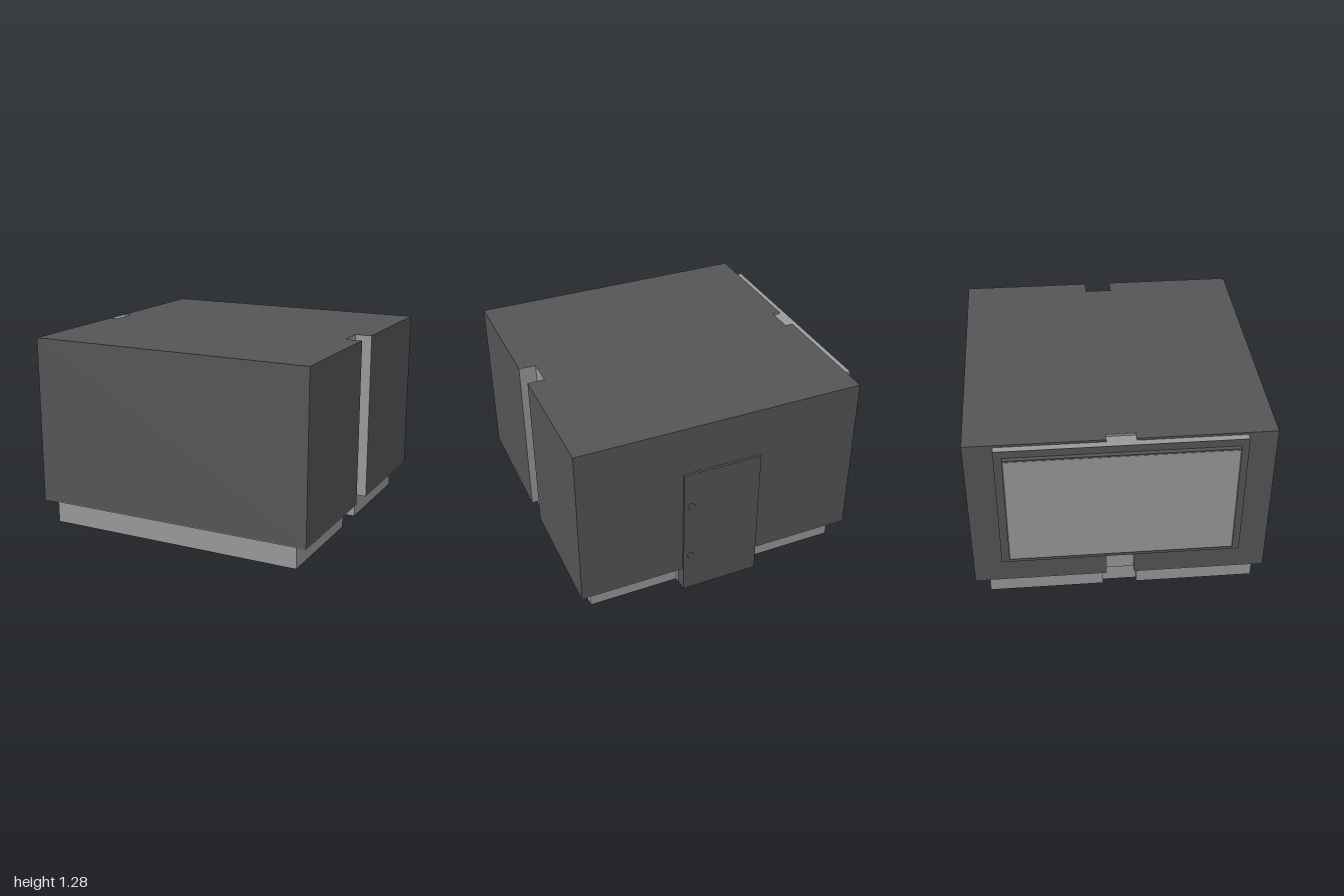
import * as THREE from 'three';

const dark = new THREE.MeshStandardMaterial({ color: 0x555555 });
dark.name = 'charcoal';
const light = new THREE.MeshStandardMaterial({ color: 0x999999 });
light.name = 'light grey';

function add(parent, name, geometry, material) {
  const mesh = new THREE.Mesh(geometry, material);
  mesh.name = name;
  parent.add(mesh);
  return mesh;
}

// box given by its two opposite corners
function block(parent, name, material, [x0, y0, z0], [x1, y1, z1]) {
  const mesh = add(parent, name, new THREE.BoxGeometry(x1 - x0, y1 - y0, z1 - z0), material);
  mesh.position.set((x0 + x1) / 2, (y0 + y1) / 2, (z0 + z1) / 2);
  return mesh;
}

// upright prism over a plan outline of [x, z] points
function prism(parent, name, material, plan, y0, y1) {
  const shape = new THREE.Shape(plan.map(([x, z]) => new THREE.Vector2(x, -z)));
  const geometry = new THREE.ExtrudeGeometry(shape, { depth: y1 - y0, bevelEnabled: false });
  geometry.rotateX(-Math.PI / 2).translate(0, y0, 0);
  return add(parent, name, geometry, material);
}

// rectangle with a notch in each of its two x sides
function notchedPlan(x0, x1, z0, z1, notchX0, notchX1, nz0, nz1) {
  return [
    [x0, z1], [x1, z1],
    [x1, nz1], [notchX1, nz1], [notchX1, nz0], [x1, nz0],
    [x1, z0], [x0, z0],
    [x0, nz0], [notchX0, nz0], [notchX0, nz1], [x0, nz1],
  ];
}

export function createModel() {
  const model = new THREE.Group();
  model.name = 'cabin';

  // main body with a grey underside
  const plan = notchedPlan(-0.925, 1, -0.955, 0.965, -0.87, 0.885, -0.09, 0.1);
  prism(model, 'body', dark, plan, 0.17, 1.285);
  prism(model, 'underside', light, plan, 0.165, 0.17);

  // grey lining of the two vertical grooves
  const t = 0.003;
  for (const [outer, inner] of [[1, 0.885], [-0.925, -0.87]]) {
    const a = Math.min(outer, inner), b = Math.max(outer, inner);
    const back = inner + Math.sign(outer) * t;
    block(model, 'grooveBack', light, [Math.min(inner, back), 0.165, -0.09], [Math.max(inner, back), 1.284, 0.1]);
    block(model, 'grooveSide', light, [a, 0.165, -0.09], [b, 1.284, -0.09 + t]);
    block(model, 'grooveSide', light, [a, 0.165, 0.1 - t], [b, 1.284, 0.1]);
  }

  // recessed plinth with a dark sole
  const basePlan = notchedPlan(-0.855, 0.915, -0.865, 0.91, -0.82, 0.85, -0.105, 0.12);
  prism(model, 'base', light, basePlan, 0.004, 0.165);
  prism(model, 'baseSole', dark, basePlan, 0, 0.004);
  block(model, 'doorStep', light, [-0.235, 0, -0.895], [0.305, 0.165, -0.865]);

  // back door: a plate with two round holes, thicker below the body
  const doorShape = new THREE.Shape([
    new THREE.Vector2(-0.23, 0), new THREE.Vector2(0.3, 0),
    new THREE.Vector2(0.3, 0.945), new THREE.Vector2(-0.23, 0.945),
  ]);
  for (const y of [0.28, 0.69]) {
    const hole = new THREE.Path();
    hole.absarc(0.25, y, 0.023, 0, Math.PI * 2, true);
    doorShape.holes.push(hole);
  }
  const door = new THREE.ExtrudeGeometry(doorShape, { depth: 0.015, bevelEnabled: false, curveSegments: 16 });
  door.translate(0, 0, -0.97);
  add(model, 'door', door, dark);
  block(model, 'doorFoot', dark, [-0.23, 0, -0.955], [0.3, 0.165, -0.895]);

  // side display: grey frame, tongue in the groove, dark surround, grey screen
  const display = new THREE.Group();
  display.name = 'sideDisplay';
  model.add(display);
  block(display, 'frame', light, [-0.967, 0.365, -0.77], [-0.925, 1.27, 0.78]);
  block(display, 'frameTongue', light, [-0.925, 0.365, -0.087], [-0.873, 1.27, 0.097]);
  block(display, 'frameFace', dark, [-0.97, 0.365, -0.77], [-0.967, 1.27, 0.78]);
  block(display, 'panel', dark, [-0.998, 0.41, -0.72], [-0.97, 1.22, 0.73]);
  block(display, 'screen', light, [-1, 0.42, -0.71], [-0.998, 1.21, 0.72]);

  return model;
}
